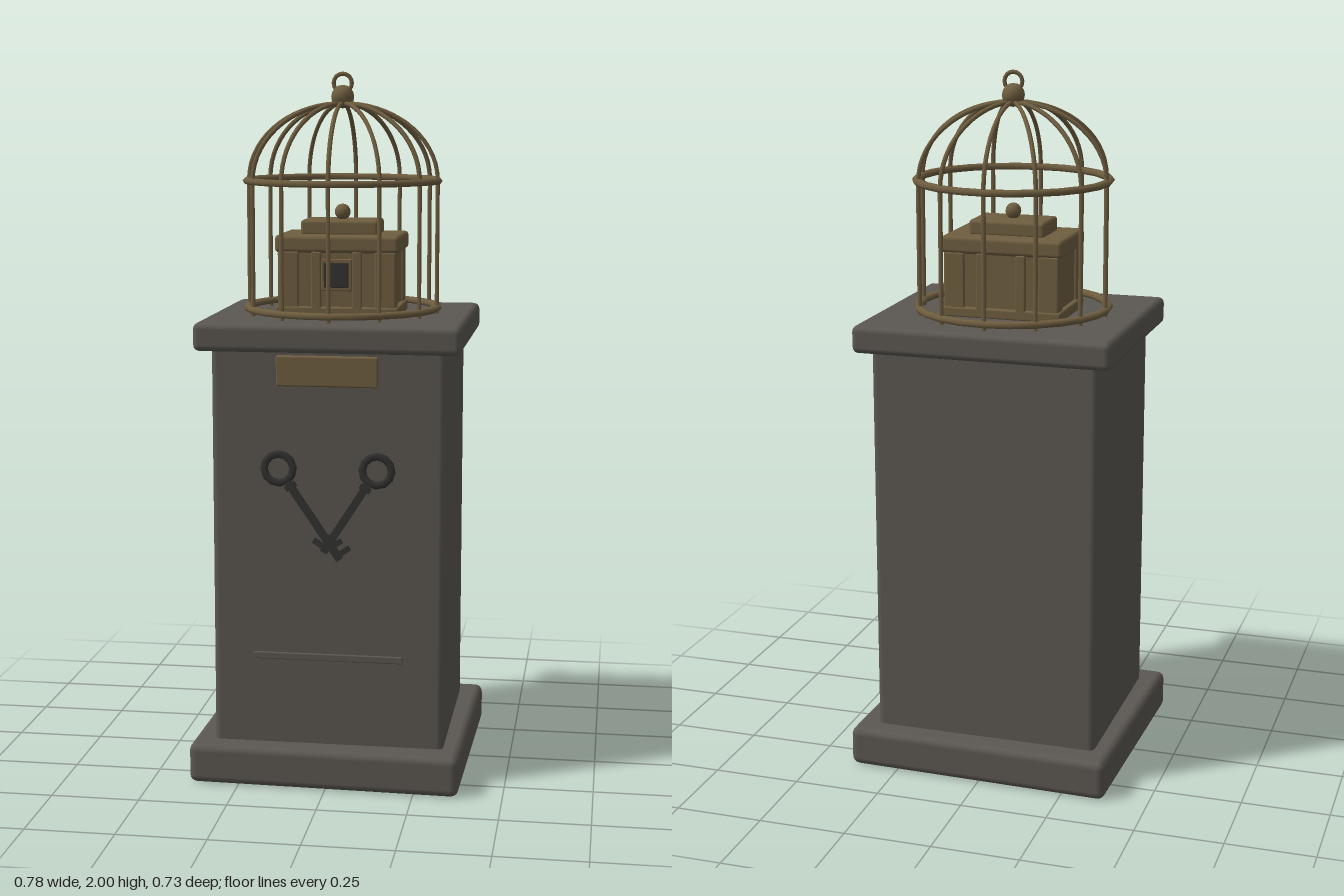
import * as THREE from 'three';
import { RoundedBoxGeometry } from 'three/addons/geometries/RoundedBoxGeometry.js';

const mat = (name, color) => {
  const m = new THREE.MeshStandardMaterial({ color });
  m.name = name;
  return m;
};

export function createModel() {
  const stone = mat('grey stone', 0x5b5751);
  const brass = mat('aged brass', 0x6f5e40);
  const iron = mat('dark iron', 0x333231);

  const model = new THREE.Group();
  model.name = 'cagedChestOnPedestal';

  const add = (parent, name, geometry, material, x = 0, y = 0, z = 0) => {
    const mesh = new THREE.Mesh(geometry, material);
    mesh.name = name;
    mesh.position.set(x, y, z);
    parent.add(mesh);
    return mesh;
  };
  const group = (name) => {
    const g = new THREE.Group();
    g.name = name;
    model.add(g);
    return g;
  };
  // Softly bevelled block from y0 to y1
  const block = (parent, name, material, w, y0, y1, d, r, x = 0, z = 0) =>
    add(parent, name, new RoundedBoxGeometry(w, y1 - y0, d, 2, r), material, x, (y0 + y1) / 2, z);

  // Pedestal, its foot turned very slightly
  const pedestal = group('pedestal');
  block(pedestal, 'foot', stone, 0.77, 0, 0.115, 0.71, 0.022).rotation.y = -0.022;
  block(pedestal, 'column', stone, 0.655, 0.09, 1.26, 0.572, 0.018);
  block(pedestal, 'capSlab', stone, 0.742, 1.238, 1.317, 0.656, 0.018);
  block(pedestal, 'carvedLine', stone, 0.424, 0.36, 0.38, 0.012, 0.003, 0, 0.286);
  block(pedestal, 'plaque', brass, 0.284, 1.143, 1.228, 0.024, 0.005, 0, 0.291);

  // Two crossed keys in low relief, each built pointing down from its bow
  const makeKey = (name, x, tipX, tipY, side) => {
    const key = group(name);
    const dx = tipX - x, dy = tipY - 0.91;
    const length = Math.hypot(dx, dy);
    key.position.set(x, 0.91, 0.287);
    key.rotation.z = Math.atan2(dx, -dy);
    const bow = add(key, 'bow', new THREE.TorusGeometry(0.041, 0.011, 6, 12), iron);
    bow.scale.z = 0.5;
    const shaft = length - 0.045;
    add(key, 'shaft', new THREE.BoxGeometry(0.022, shaft, 0.01), iron, 0, -0.045 - shaft / 2, 0);
    add(key, 'collar', new THREE.BoxGeometry(0.034, 0.016, 0.011), iron, 0, -0.06, 0);
    for (const [i, w] of [0.034, 0.026].entries())
      add(key, 'bit', new THREE.BoxGeometry(w, 0.016, 0.009), iron, side * (w / 2 + 0.008), -length + 0.014 + i * 0.029, 0);
  };
  makeKey('rightKey', -0.138, 0.035, 0.655, 1);
  makeKey('leftKey', 0.138, -0.012, 0.675, -1);

  // Chest with corner posts, panels and a stepped lid
  const chest = group('chest');
  block(chest, 'chestBody', brass, 0.32, 1.315, 1.505, 0.225, 0.005);
  block(chest, 'chestPlinth', brass, 0.35, 1.315, 1.345, 0.25, 0.006);
  for (const sz of [1, -1]) {
    for (const sx of [1, -1]) {
      block(chest, 'cornerPost', brass, 0.06, 1.32, 1.5, 0.05, 0.005, sx * 0.138, sz * 0.097);
      block(chest, 'innerPost', brass, 0.028, 1.32, 1.5, 0.02, 0.004, sx * 0.058, sz * 0.115);
    }
  }
  block(chest, 'lid', brass, 0.354, 1.496, 1.546, 0.246, 0.012);
  block(chest, 'lidStep', brass, 0.222, 1.54, 1.586, 0.142, 0.01);
  add(chest, 'lidKnob', new THREE.SphereGeometry(0.023, 12, 8), brass, 0, 1.606, 0);
  block(chest, 'lockPlate', iron, 0.07, 1.4, 1.47, 0.009, 0.002, 0, 0.125);
  block(chest, 'lockMount', brass, 0.088, 1.39, 1.48, 0.02, 0.003, 0, 0.113);

  // Domed cage: hoops, bars that bend over to the crown, knob and loop
  const cage = group('cage');
  for (const [name, y] of [['lowerHoop', 1.334], ['upperHoop', 1.695]]) {
    const hoop = add(cage, name, new THREE.TorusGeometry(0.272, 0.014, 6, 24), brass, 0, y, 0);
    hoop.rotation.x = Math.PI / 2;
    hoop.scale.z = 0.75;
  }
  const radius = 0.272;
  const dome = [];
  for (let i = 0; i <= 10; i++) {
    const a = (i / 10) * Math.PI / 2;
    dome.push(new THREE.Vector3(radius * Math.cos(a), 1.695 + 0.217 * Math.sin(a), 0));
  }
  const ribGeometry = new THREE.TubeGeometry(new THREE.CatmullRomCurve3(dome), 16, 0.0065, 6);
  const barGeometry = new THREE.CylinderGeometry(0.0065, 0.0065, 0.385, 6);
  for (let i = 0; i < 12; i++) {
    const a = (i / 12) * Math.PI * 2;
    add(cage, 'bar', barGeometry, brass, radius * Math.cos(a), 1.5075, -radius * Math.sin(a));
    add(cage, 'domeRib', ribGeometry, brass).rotation.y = a;
  }
  add(cage, 'crownKnob', new THREE.SphereGeometry(0.033, 12, 8), brass, 0, 1.93, 0);
  add(cage, 'hangingLoop', new THREE.TorusGeometry(0.026, 0.006, 6, 16), brass, 0, 1.968, 0);

  return model;
}
